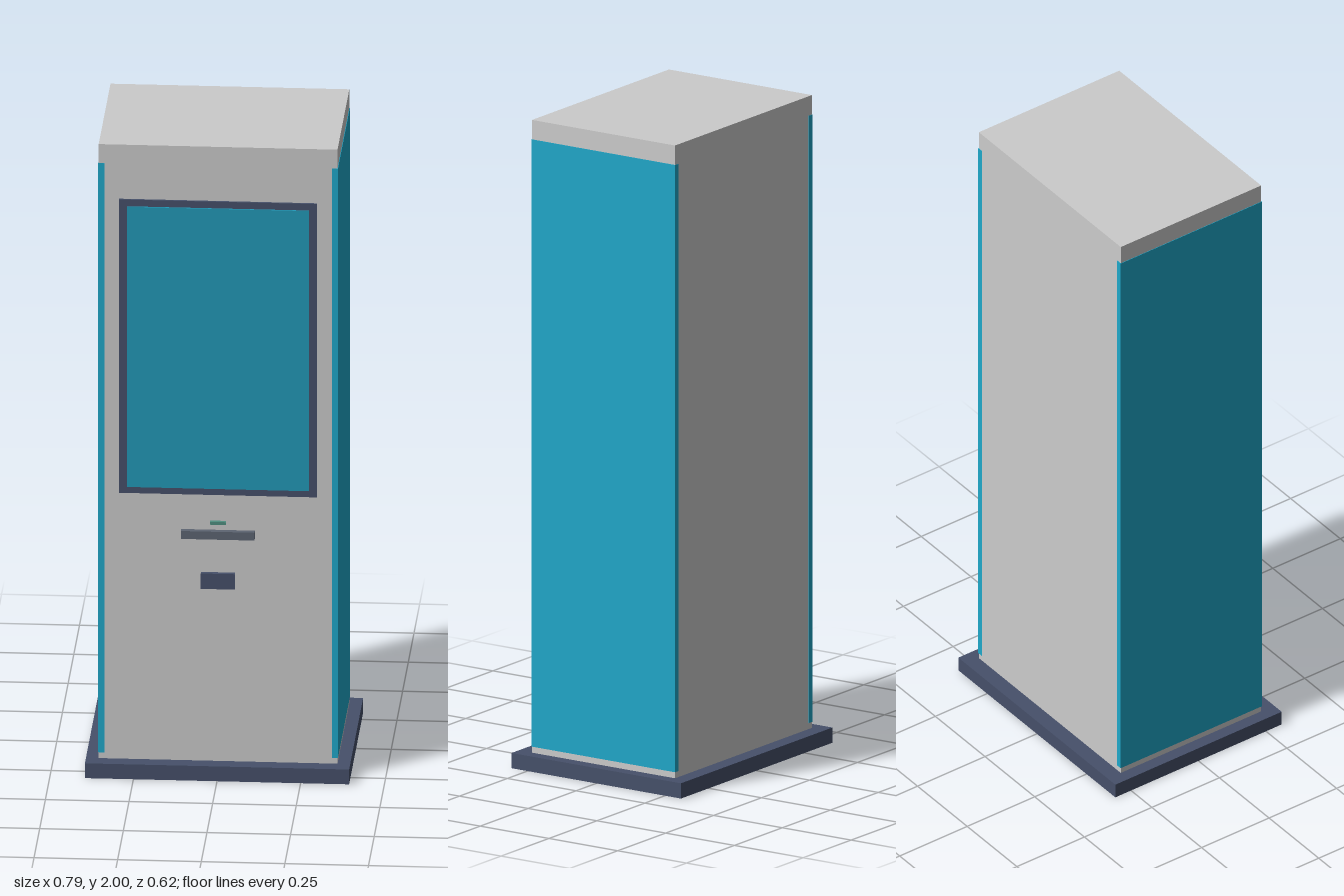
import * as THREE from 'three';

const paint = (color) => new THREE.MeshStandardMaterial({ color });

export function createModel() {
  const kiosk = new THREE.Group();
  kiosk.name = 'kiosk';
  const grey = paint(0xcccccc);
  const slate = paint(0x46506a);
  const teal = paint(0x1fa8ca);
  const screenBlue = paint(0x2299b8);
  const slotGrey = paint(0x5d6572);
  const green = paint(0x4f8f80);

  // Box given by its limits on each axis
  const box = (name, material, [x0, x1], [y0, y1], [z0, z1]) => {
    const mesh = new THREE.Mesh(new THREE.BoxGeometry(x1 - x0, y1 - y0, z1 - z0), material);
    mesh.position.set((x0 + x1) / 2, (y0 + y1) / 2, (z0 + z1) / 2);
    mesh.name = name;
    kiosk.add(mesh);
  };

  // Plinth and cabinet
  box('base', slate, [-0.395, 0.395], [0, 0.047], [-0.308, 0.308]);
  box('cabinet', grey, [-0.357, 0.357], [0.047, 2], [-0.26, 0.26]);

  // Coloured side panels, a hair proud of the cabinet on three sides
  box('leftSidePanel', teal, [0.34, 0.3585], [0.066, 1.94], [-0.2615, 0.2615]);
  box('rightSidePanel', teal, [-0.3585, -0.34], [0.066, 1.94], [-0.2615, 0.2615]);

  // Display
  box('screenBezel', slate, [-0.296, 0.296], [0.895, 1.828], [0.25, 0.267]);
  box('screen', screenBlue, [-0.272, 0.272], [0.916, 1.807], [0.25, 0.272]);

  // Controls below the display
  box('indicatorLight', green, [-0.024, 0.024], [0.802, 0.811], [0.25, 0.272]);
  box('printerSlot', slotGrey, [-0.11, 0.11], [0.757, 0.782], [0.25, 0.278]);
  box('cardReader', slate, [-0.051, 0.051], [0.598, 0.647], [0.25, 0.274]);

  return kiosk;
}
